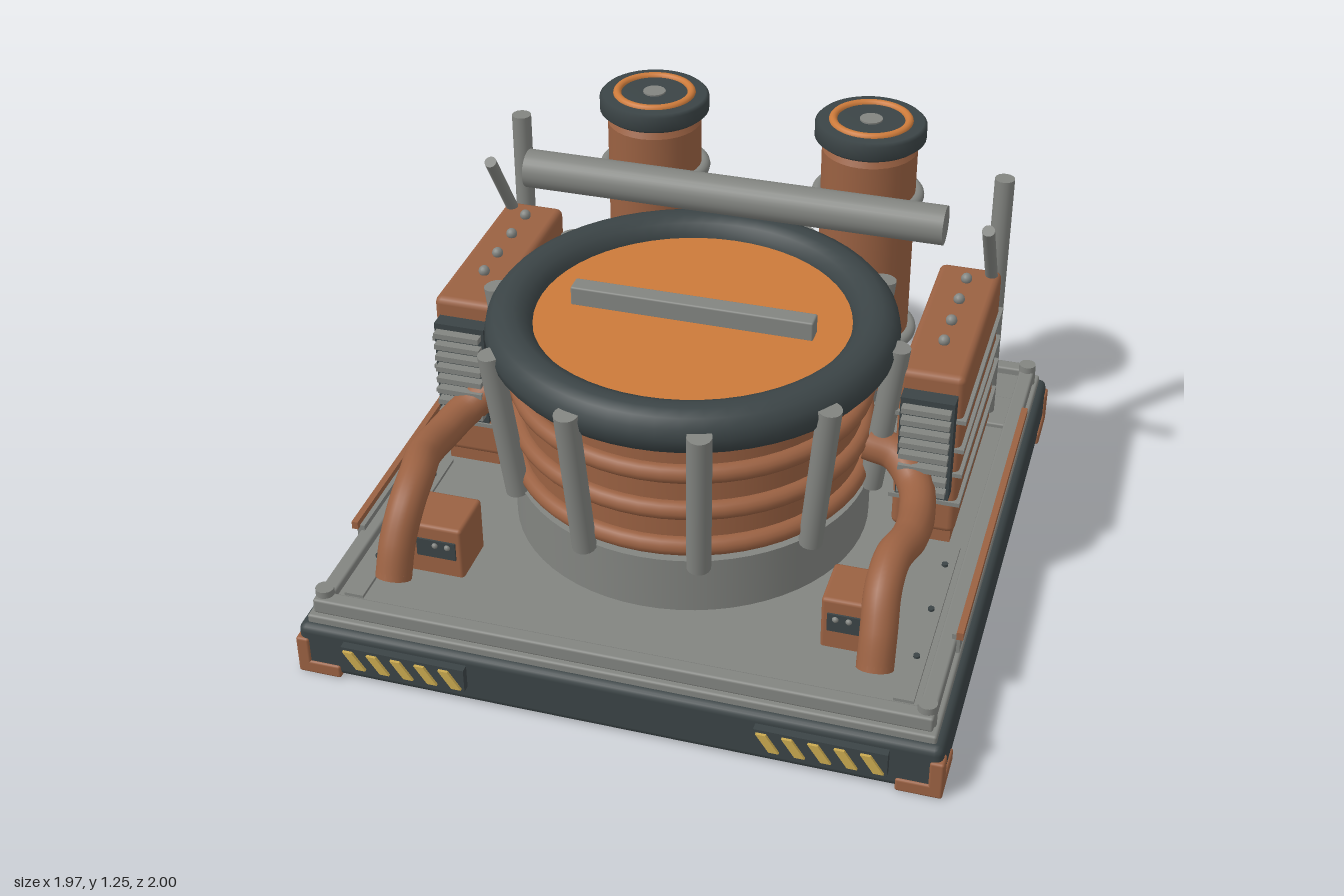
import * as THREE from 'three';
import { RoundedBoxGeometry } from 'three/addons/geometries/RoundedBoxGeometry.js';

const mat = (name, color) => Object.assign(new THREE.MeshStandardMaterial({ color }), { name });

export function createModel() {
  const model = new THREE.Group();
  model.name = 'reactorPlatform';
  const dark = mat('darkMetal', 0x3b4446);
  const gray = mat('grayMetal', 0x828480);
  const copper = mat('copper', 0x9a6142);
  const orange = mat('orangeGlow', 0xcc7a3a);
  const yellow = mat('hazardYellow', 0xcbaa50);

  const add = (name, geo, m, x = 0, y = 0, z = 0) => {
    const mesh = new THREE.Mesh(geo, m);
    mesh.name = name;
    mesh.position.set(x, y, z);
    model.add(mesh);
    return mesh;
  };
  // box given by its minimum and maximum on each axis, with optional rounding
  const box = (name, m, [x0, x1], [y0, y1], [z0, z1], r = 0) => {
    const w = Math.abs(x1 - x0), h = y1 - y0, d = z1 - z0;
    const geo = r ? new RoundedBoxGeometry(w, h, d, 2, r) : new THREE.BoxGeometry(w, h, d);
    return add(name, geo, m, (x0 + x1) / 2, (y0 + y1) / 2, (z0 + z1) / 2);
  };
  const cyl = (name, m, r, y0, y1, x, z, rTop = r, seg = 32) =>
    add(name, new THREE.CylinderGeometry(rTop, r, y1 - y0, seg), m, x, (y0 + y1) / 2, z);
  const ring = (name, m, R, r, x, y, z) =>
    add(name, new THREE.TorusGeometry(R, r, 14, 56).rotateX(Math.PI / 2), m, x, y, z);
  // straight rod between two points
  const rod = (name, m, r, a, b, seg = 16) => {
    const A = new THREE.Vector3(...a), B = new THREE.Vector3(...b);
    const dir = B.clone().sub(A), mid = A.clone().add(B).multiplyScalar(0.5);
    const mesh = add(name, new THREE.CylinderGeometry(r, r, dir.length(), seg), m, mid.x, mid.y, mid.z);
    mesh.quaternion.setFromUnitVectors(new THREE.Vector3(0, 1, 0), dir.normalize());
    return mesh;
  };

  // Platform
  const zc = -0.015;
  box('base', dark, [-0.98, 0.98], [0.005, 0.175], [-0.995, 0.965], 0.025);
  box('deckSlab', gray, [-0.955, 0.955], [0.165, 0.2], [-0.97, 0.94], 0.008);
  box('deck', gray, [-0.935, 0.935], [0.19, 0.225], [-0.95, 0.92]);
  for (const s of [-1, 1]) {
    box('sideRail', gray, [s * 0.89, s * 0.94], [0.2, 0.25], [-0.955, 0.925], 0.008);
    const z = zc + s * 0.915;
    box('endRail', gray, [-0.94, 0.94], [0.2, 0.25], [z - 0.025, z + 0.025], 0.008);
    box('sideTrim', copper, [s * 0.94, s * 0.96], [0.262, 0.288], [-0.62, 0.585]);
    box('trimSupport', gray, [s * 0.925, s * 0.95], [0.2, 0.268], [-0.6, 0.57]);
    for (const e of [-1, 1]) {
      const zb = zc + e * 0.9;
      cyl('cornerBolt', gray, 0.03, 0.2, 0.272, s * 0.915, zb, 0.028, 16);
      // L-shaped corner guards
      const ze = zc + e * 0.965;
      const span = (len) => (e > 0 ? [ze - len, ze + 0.022] : [ze - 0.022, ze + len]);
      const guard = span(0.03);
      box('cornerGuard', copper, [s * 0.945, s * 0.987], [0, 0.13], guard, 0.008);
      box('cornerGuardFoot', copper, [s * 0.85, s * 0.987], [0, 0.045], guard, 0.008);
      box('cornerGuardFoot', copper, [s * 0.945, s * 0.987], [0, 0.045], span(0.15), 0.008);
    }
    // Bolted deck strips
    box('deckStrip', gray, [s * 0.81, s * 0.87], [0.22, 0.235], [0.12, 0.85]);
    for (const bz of [0.22, 0.44, 0.66])
      cyl('stripBolt', dark, 0.01, 0.23, 0.243, s * 0.84, bz, 0.01, 10);
  }

  // Hazard plates with slanted stripes
  const stripe = new THREE.Shape([[-0.035, 0.03], [-0.005, 0.03], [0.035, -0.03], [0.005, -0.03]]
    .map(([x, y]) => new THREE.Vector2(x, y)));
  const stripeGeo = new THREE.ExtrudeGeometry(stripe, { depth: 0.009, bevelEnabled: false });
  for (const s of [-1, 1]) {
    box('hazardPlate', dark, [s * 0.44, s * 0.83], [0.065, 0.145], [0.95, 0.99]);
    for (let i = 0; i < 5; i++)
      add('hazardStripe', stripeGeo, yellow, s * 0.635 + (i - 2) * 0.076, 0.105, 0.99);
  }

  // Central drum
  const dz = 0.09;
  cyl('drumPedestal', gray, 0.56, 0.21, 0.41, 0, dz, 0.56, 64);
  cyl('drumBody', copper, 0.53, 0.4, 0.88, 0, dz, 0.53, 64);
  for (const y of [0.45, 0.58, 0.71]) ring('drumRib', copper, 0.535, 0.03, 0, y, dz);
  ring('drumCollar', dark, 0.555, 0.075, 0, 0.888, dz);
  cyl('drumLid', orange, 0.5, 0.86, 0.905, 0, dz, 0.5, 64);
  box('lidBar', gray, [-0.38, 0.38], [0.9, 0.965], [dz - 0.03, dz + 0.03], 0.006);
  for (let i = 0; i < 10; i++) {
    const a = (i * Math.PI) / 5, c = Math.cos(a), n = Math.sin(a);
    rod('drumStrut', gray, 0.037, [c * 0.572, 0.4, dz + n * 0.572], [c * 0.635, 0.91, dz + n * 0.635]);
  }

  // Rear exhaust stacks
  for (const s of [-1, 1]) {
    const x = s * 0.363, z = -0.705;
    cyl('stackFoot', gray, 0.12, 0.21, 0.31, x, z, 0.15);
    cyl('stackBody', copper, 0.155, 0.29, 1.14, x, z);
    cyl('stackShoulder', copper, 0.155, 1.14, 1.19, x, z, 0.13);
    for (const y of [0.465, 0.975]) ring('stackBand', gray, 0.164, 0.02, x, y, z);
    const cap = [[0, 1.17], [0.165, 1.17], [0.18, 1.183], [0.18, 1.228], [0.17, 1.238], [0, 1.238]];
    add('stackCap', new THREE.LatheGeometry(cap.map(([r, y]) => new THREE.Vector2(r, y)), 40), dark, x, 0, z);
    ring('stackGlowRing', orange, 0.122, 0.014, x, 1.236, z);
    cyl('stackHub', gray, 0.037, 1.23, 1.243, x, z, 0.037, 20);
  }

  // Cross bar, posts and braces
  rod('crossBar', gray, 0.062, [-0.68, 1.09, -0.352], [0.68, 1.09, -0.352], 28);
  for (const s of [-1, 1]) {
    box('postFoot', gray, [s * 0.77, s * 0.9], [0.2, 0.24], [-0.74, -0.57], 0.006);
    cyl('post', gray, 0.032, 0.22, 1.12, s * 0.812, -0.65, 0.032, 16);
    rod('postBrace', gray, 0.02, [s * 0.812, 0.66, -0.64], [s * 0.812, 1.09, -0.355]);
  }

  // Side engines
  for (const s of [-1, 1]) {
    box('engineBase', copper, [s * 0.66, s * 0.83], [0.21, 0.3], [-0.55, 0.09]);
    box('engineBlock', copper, [s * 0.642, s * 0.842], [0.265, 0.84], [-0.56, 0.103], 0.022);
    for (const y of [0.385, 0.495, 0.585, 0.69])
      box('engineBand', gray, [s * 0.632, s * 0.854], [y - 0.007, y + 0.007], [-0.568, 0.11]);
    for (const z of [-0.46, -0.33, -0.2, -0.08])
      add('engineBolt', new THREE.SphereGeometry(0.018, 14, 10), gray, s * 0.742, 0.85, z);
    box('grille', dark, [s * 0.66, s * 0.824], [0.43, 0.78], [0.09, 0.155]);
    for (let i = 0; i < 8; i++) {
      const y = 0.465 + i * 0.041;
      box('grilleSlat', gray, [s * 0.668, s * 0.816], [y - 0.009, y + 0.009], [0.15, 0.185]);
    }
    // Hose from the drum, past the engine, down to the deck
    const path = [[0.56, 0.56, 0.1], [0.65, 0.54, 0.11], [0.725, 0.49, 0.18], [0.755, 0.475, 0.3], [0.76, 0.49, 0.44],
      [0.735, 0.5, 0.56], [0.73, 0.46, 0.66], [0.737, 0.37, 0.73], [0.74, 0.265, 0.775]]
      .map(([x, y, z]) => new THREE.Vector3(s * x, y, z));
    const curve = new THREE.CatmullRomCurve3(path);
    add('hose', new THREE.TubeGeometry(curve, 60, 0.055, 18), copper);
    const end = path[path.length - 1], back = curve.getTangent(1).multiplyScalar(0.02);
    rod('hoseEnd', copper, 0.055, end.clone().sub(back).toArray(), end.toArray(), 18);

    // Control box with a dark panel
    box('controlBox', copper, [s * 0.555, s * 0.75], [0.21, 0.4], [0.5, 0.675], 0.012);
    box('controlPanel', dark, [s * 0.575, s * 0.7], [0.29, 0.352], [0.672, 0.681]);
    for (const x of [0.6, 0.64])
      add('panelButton', new THREE.SphereGeometry(0.01, 12, 8), gray, s * x, 0.335, 0.68);
  }
  return model;
}
